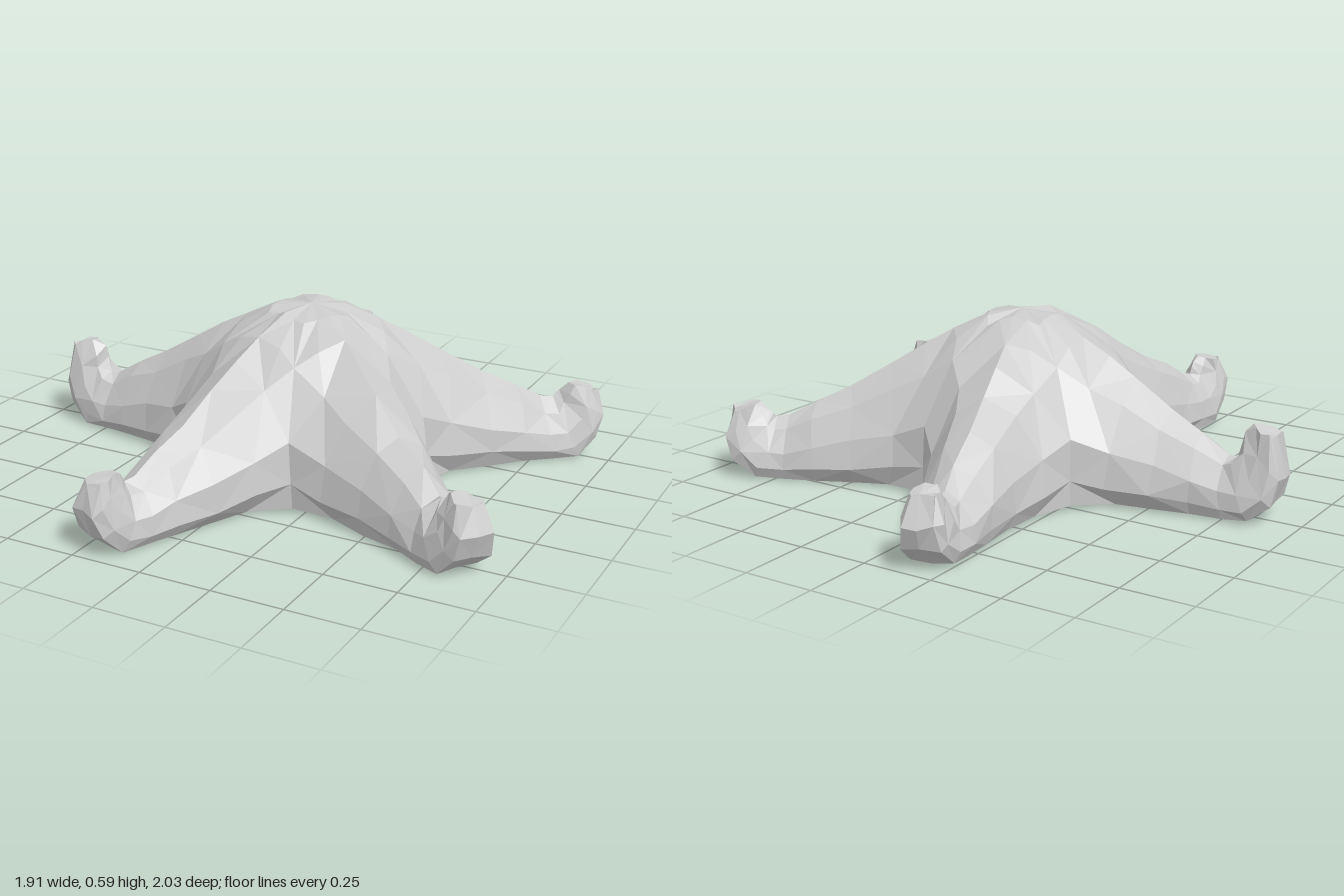
import * as THREE from 'three';
import { mergeVertices } from 'three/addons/utils/BufferGeometryUtils.js';

const CENTER_X = 0.07;
const NOTCH = 0.35; // distance along an arm where neighbouring arms separate
const TAN36 = Math.tan(Math.PI / 5);

// Stations along an arm: underside (r, y), ridge (r, y), half width, height of the side edge
const STATIONS = [
  [0, 0.04, 0, 0.6, 0, 0.6],
  [0.12, 0.04, 0.12, 0.588, 0.12 * TAN36, 0.565],
  [0.24, 0.03, 0.24, 0.535, 0.24 * TAN36, 0.46],
  [NOTCH, 0.02, NOTCH, 0.47, NOTCH * TAN36, 0.25],
  [0.46, 0.012, 0.45, 0.41, 0.205, 0.2],
  [0.6, 0.01, 0.59, 0.33, 0.16, 0.165],
  [0.72, 0.01, 0.71, 0.265, 0.125, 0.135],
  [0.82, 0.01, 0.8, 0.215, 0.105, 0.11],
  // upturned tip
  [0.91, 0.015, 0.83, 0.212, 0.095],
  [0.98, 0.08, 0.845, 0.225, 0.08],
  [1.005, 0.16, 0.86, 0.245, 0.065],
  [0.975, 0.25, 0.885, 0.265, 0.042],
];
const SECTOR = 3; // stations 0..3 belong to the joined central body
const RING = 10;

// Half cross-section as [width fraction, fraction from underside to ridge]
function halfSection([, yb, , yt, , edge], i) {
  const t = edge === undefined ? 0.5 : (edge - yb) / (yt - yb);
  if (i <= SECTOR) return [[0, 0], [1, 0], [1, t * 0.4], [1, t], [0.5, t + (1 - t) * 0.66], [0, 1]];
  return [[0, 0], [0.8, 0.01], [1, t * 0.4], [0.93, t], [0.52, t + (1 - t) * 0.68], [0, 1]];
}

// Adds one arm together with its fifth of the central body
function addArm(pos, idx, { angle, bend = 0, stretch = 0, lift = 0 }) {
  const base = pos.length / 3;
  const c = Math.cos(angle), s = Math.sin(angle);
  STATIONS.forEach((st, i) => {
    const [rb, yb, rt, yt, w] = st;
    const half = halfSection(st, i);
    const ring = [...half, ...half.slice(1, 5).reverse().map(([f, t]) => [-f, t])];
    for (const [f, t] of ring) {
      let r = rb + (rt - rb) * t;
      let y = yb + (yt - yb) * t;
      const outer = Math.max(0, r - NOTCH);
      if (r > 0.84) y += lift * Math.max(0, y - 0.15);
      r += outer * stretch;
      const side = f * w + outer * bend;
      pos.push(CENTER_X + r * c - side * s, y, r * s + side * c);
    }
  });
  for (let i = 0; i < STATIONS.length - 1; i++) {
    for (let j = 0; j < RING; j++) {
      // no inner walls where arms join
      if (i < SECTOR && [1, 2, 7, 8].includes(j)) continue;
      const k = (j + 1) % RING;
      const a = base + i * RING + j, b = base + i * RING + k;
      const e = a + RING, d = b + RING;
      if ((i + j) % 2) idx.push(a, e, d, a, d, b);
      else idx.push(a, e, b, e, d, b);
    }
  }
  // tip cap
  const last = base + (STATIONS.length - 1) * RING;
  for (let j = 1; j < RING - 1; j++) idx.push(last, last + j + 1, last + j);
}

// Small seeded irregularity for a hand-carved look
function roughen(geometry, amount) {
  let seed = 7;
  const rnd = () => {
    seed = (seed * 16807) % 2147483647;
    return (seed / 2147483647 - 0.5) * 2 * amount;
  };
  const p = geometry.attributes.position;
  for (let i = 0; i < p.count; i++) {
    const y = p.getY(i);
    const dy = rnd() * (y < 0.06 ? 0.3 : 1);
    p.setXYZ(i, p.getX(i) + rnd(), Math.max(0.002, y + dy), p.getZ(i) + rnd());
  }
}

export function createModel() {
  const group = new THREE.Group();
  group.name = 'starfish';
  const deg = Math.PI / 180;
  const pos = [], idx = [];
  const arms = [
    { angle: 180 * deg, lift: 0.5 },
    { angle: 108 * deg, bend: -0.075, stretch: 0.045 },
    { angle: -108 * deg, bend: 0.075, stretch: 0.045 },
    { angle: 36 * deg, bend: -0.05, stretch: 0.06 },
    { angle: -36 * deg, bend: 0.05, stretch: 0.06 },
  ];
  arms.forEach((arm) => addArm(pos, idx, arm));

  let geometry = new THREE.BufferGeometry();
  geometry.setAttribute('position', new THREE.Float32BufferAttribute(pos, 3));
  geometry.setIndex(idx);
  geometry = mergeVertices(geometry, 1e-3);
  roughen(geometry, 0.008);
  geometry = geometry.toNonIndexed();
  geometry.computeVertexNormals();

  const body = new THREE.Mesh(
    geometry,
    new THREE.MeshStandardMaterial({ color: 0xcccccc, flatShading: true })
  );
  body.name = 'fiveArmedBody';
  group.add(body);
  return group;
}
